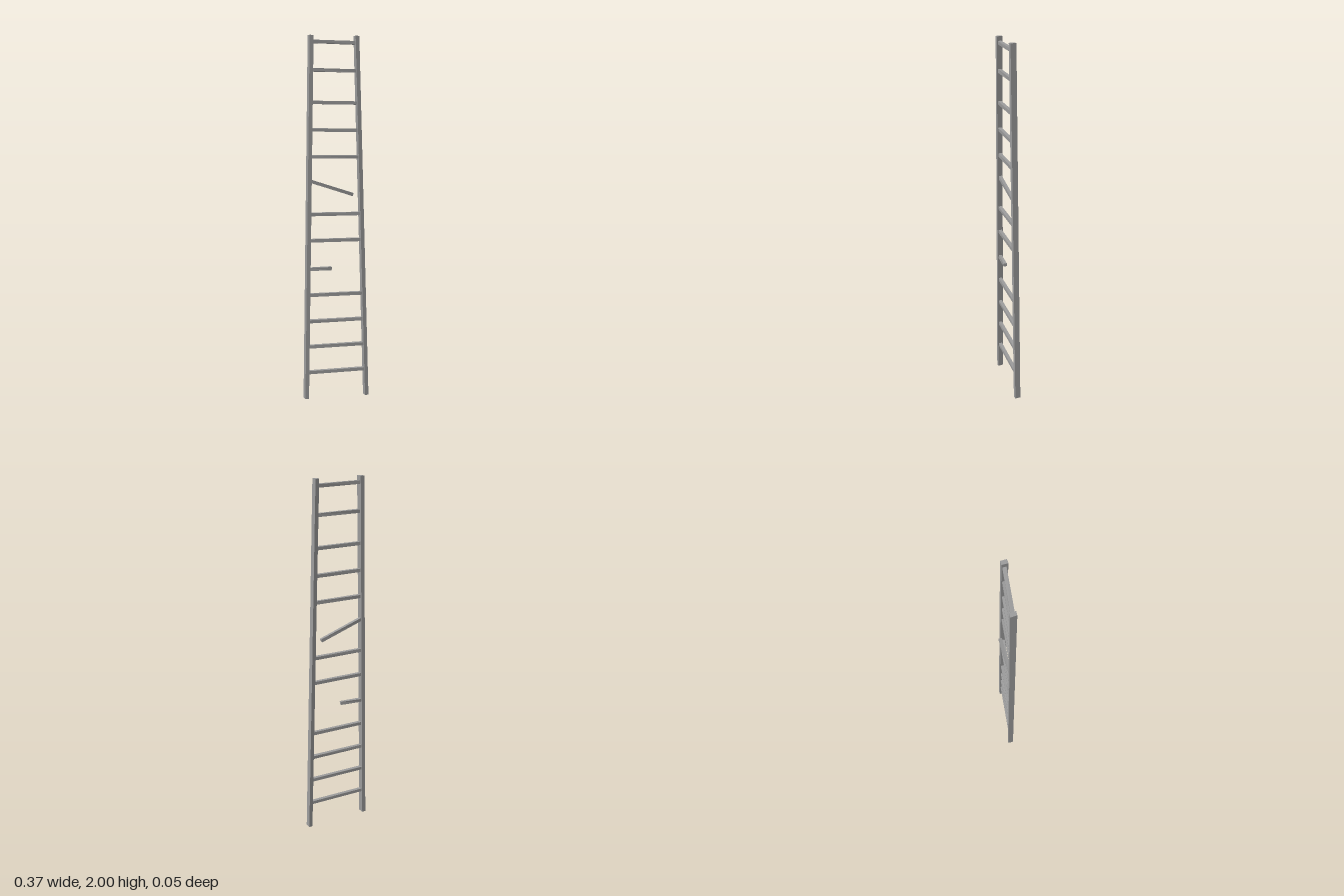
import * as THREE from 'three';

const material = new THREE.MeshStandardMaterial({ color: 0x9c9c9c, flatShading: true });
const V = (x, y, z) => new THREE.Vector3(x, y, z);

// Box whose vertices are placed along start -> end; u and v are its cross-section edges, twisted slightly at the end
function beam(name, start, end, u, v, twist = 0) {
  const geometry = new THREE.BoxGeometry(1, 1, 1);
  const pos = geometry.attributes.position;
  const axis = end.clone().sub(start).normalize();
  const p = new THREE.Vector3();
  for (let i = 0; i < pos.count; i++) {
    const t = pos.getY(i) + 0.5;
    p.set(0, 0, 0).addScaledVector(u, pos.getX(i)).addScaledVector(v, pos.getZ(i));
    p.applyAxisAngle(axis, twist * (t - 0.5));
    p.add(start.clone().lerp(end, t));
    pos.setXYZ(i, p.x, p.y, p.z);
  }
  geometry.computeVertexNormals();
  const mesh = new THREE.Mesh(geometry, material);
  mesh.name = name;
  return mesh;
}

export function createModel() {
  const group = new THREE.Group();
  group.name = 'ladder';

  // Converging side rails, slightly skewed
  const rails = {
    right: [V(-0.174, 0.008, 0.001), V(-0.14, 2, 0.008)],
    left: [V(0.174, 0, -0.003), V(0.107, 2, 0.009)],
  };
  group.add(beam('rightRail', ...rails.right, V(0.021, 0, -0.001), V(0.005, 0, 0.031)));
  group.add(beam('leftRail', ...rails.left, V(0.021, 0, -0.003), V(0.004, 0, 0.031)));
  const railPoint = ([a, b], y) => a.clone().lerp(b, y / 2).setY(y);

  // Rung cross-section edges: height across u, depth across v
  const height = V(0, -0.018, 0), depth = V(0, 0, 0.019);

  // Whole rungs, each a little uneven
  [0.157, 0.306, 0.452, 0.601, 0.906, 1.051, 1.362, 1.506, 1.651, 1.82, 1.966].forEach((y, i) => {
    const tilt = 0.002;
    const twist = 0.12 * Math.sin(i * 2.3);
    group.add(beam(`rung${i + 1}`, railPoint(rails.right, y + tilt),
      railPoint(rails.left, y - tilt), height, depth, twist));
  });

  // Rung snapped off short
  const stub = railPoint(rails.right, 0.749);
  group.add(beam('brokenRung', stub, V(-0.03, 0.75, 0.008), height, depth, 0.2));

  // Rung hanging loose from one rail, swung down and back
  group.add(beam('looseRung', V(-0.15, 1.235, 0.004), V(0.096, 1.153, -0.016),
    V(-0.005, -0.017, 0), V(0.001, 0, 0.018), 0.1));

  return group;
}
